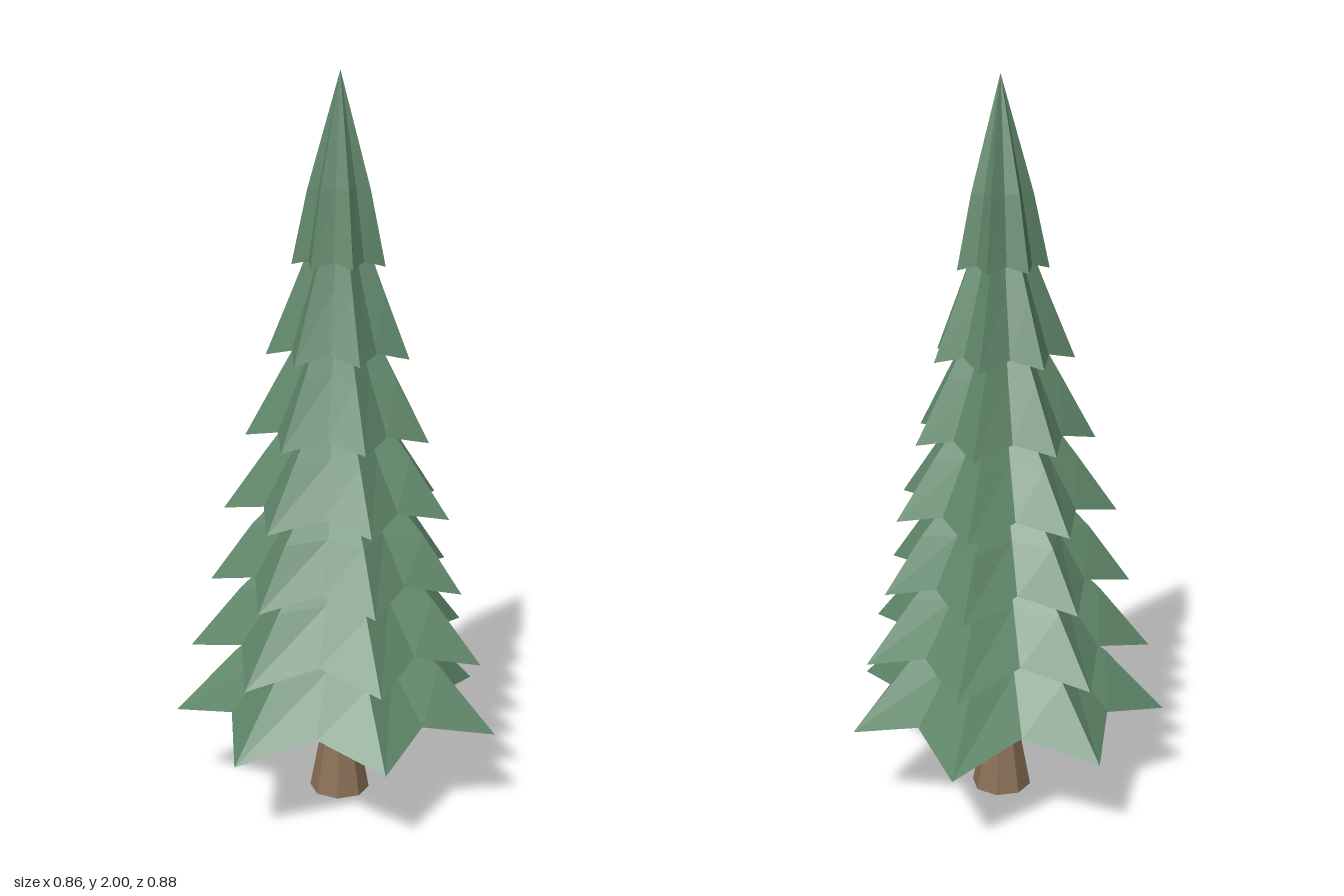
import * as THREE from 'three';

const POINTS = 7;
// slight irregularity of each branch tip and of the notch that follows it
const TIP = [0.98, 1.02, 0.97, 1.01, 0.975, 1.025, 1.01];
const NOTCH = [0.705, 0.74, 0.7, 0.735, 0.74, 0.735, 0.73];

// tip height, tip radius, notch rise, shoulder height, shoulder radius, peak height
const TIERS = [
  [0.245, 0.455, 0.055, 0.42, 0.29, 0.67],
  [0.44, 0.41, 0.05, 0.61, 0.27, 0.87],
  [0.635, 0.352, 0.042, 0.79, 0.24, 1.05],
  [0.84, 0.313, 0.032, 1.0, 0.2, 1.27],
  [1.045, 0.253, 0.026, 1.22, 0.157, 1.5],
  [1.265, 0.196, 0.022, 1.445, 0.122, 1.75],
  [1.505, 0.127, 0.016, 1.7, 0.085, 2.0],
];

// star-shaped ring of alternating tips and notches
function starRing(radius, y, rise) {
  const ring = [];
  for (let i = 0; i < POINTS * 2; i++) {
    const k = i >> 1;
    const r = radius * (i % 2 ? NOTCH[k] : TIP[k]);
    const a = Math.PI + (i * Math.PI) / POINTS;
    ring.push(new THREE.Vector3(Math.cos(a) * r, y + (i % 2 ? rise : 0), Math.sin(a) * r));
  }
  return ring;
}

// one skirt of branches: underside, drooping rim, shoulder and peak
function tierGeometry([tipY, tipR, rise, midY, midR, topY]) {
  const rim = starRing(tipR, tipY, rise);
  const shoulder = starRing(midR, midY, rise * 0.3);
  const peak = new THREE.Vector3(0, topY, 0);
  const under = new THREE.Vector3(0, tipY + rise * 1.6, 0);
  const pts = [];
  rim.forEach((a, i) => {
    const j = (i + 1) % rim.length;
    const b = rim[j], c = shoulder[i], d = shoulder[j];
    pts.push(a, c, b, b, c, d, c, peak, d, a, b, under);
  });
  const geo = new THREE.BufferGeometry().setFromPoints(pts);
  geo.computeVertexNormals();
  return geo;
}

export function createModel() {
  const needles = new THREE.MeshStandardMaterial({ color: 0x5f8669, flatShading: true });
  needles.name = 'needle green';
  const bark = new THREE.MeshStandardMaterial({ color: 0x8a6f57, flatShading: true });
  bark.name = 'bark brown';

  const tree = new THREE.Group();
  tree.name = 'pineTree';

  // flared trunk, closed at the foot
  const profile = [[0, 0], [0.084, 0], [0.056, 0.15], [0.05, 0.24], [0.05, 0.4]];
  const trunk = new THREE.Mesh(
    new THREE.LatheGeometry(profile.map(([r, y]) => new THREE.Vector2(r, y)), 8), bark);
  trunk.name = 'trunk';
  tree.add(trunk);

  // stacked branch tiers
  TIERS.forEach((tier, i) => {
    const mesh = new THREE.Mesh(tierGeometry(tier), needles);
    mesh.name = `branchTier${i + 1}`;
    tree.add(mesh);
  });

  // the trunk axis sits slightly off centre so the crown is centred
  tree.children.forEach((m) => m.position.set(0.015, 0, -0.015));
  return tree;
}
